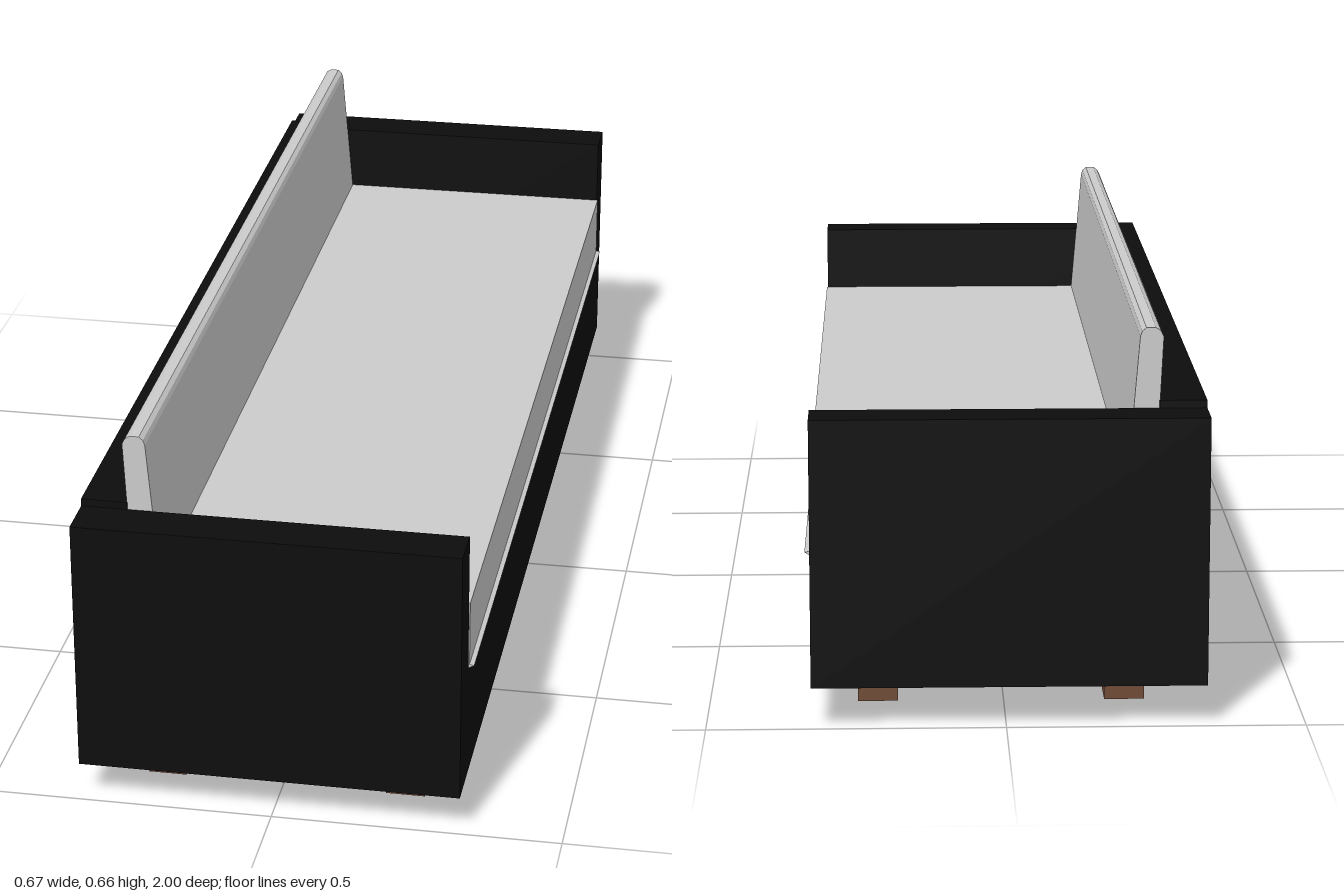
import * as THREE from 'three';

export function createModel() {
  const sofa = new THREE.Group();
  sofa.name = 'sofa';
  const black = new THREE.MeshStandardMaterial({ name: 'black upholstery', color: 0x0d0d0d });
  const grey = new THREE.MeshStandardMaterial({ name: 'light grey cushion', color: 0xcbcbcb });
  const wood = new THREE.MeshStandardMaterial({ name: 'brown wood', color: 0x704b36 });

  // Box given by its minimum and maximum corners
  function box(name, material, [x0, y0, z0], [x1, y1, z1]) {
    const mesh = new THREE.Mesh(new THREE.BoxGeometry(x1 - x0, y1 - y0, z1 - z0), material);
    mesh.position.set((x0 + x1) / 2, (y0 + y1) / 2, (z0 + z1) / 2);
    mesh.name = name;
    sofa.add(mesh);
  }

  // Cross-section in x and y, swept along the length of the sofa
  function sweep(name, material, points, halfLength) {
    const shape = new THREE.Shape(points.map(([x, y]) => new THREE.Vector2(x, y)));
    const geometry = new THREE.ExtrudeGeometry(shape, { depth: 2 * halfLength, bevelEnabled: false });
    geometry.translate(0, 0, -halfLength);
    const mesh = new THREE.Mesh(geometry, material);
    mesh.name = name;
    sofa.add(mesh);
  }

  // Frame: base, back panel and two arms
  box('base', black, [-0.256, 0.07, -0.92], [0.325, 0.28, 0.92]);
  box('backPanel', black, [-0.335, 0.07, -0.92], [-0.256, 0.538, 0.92]);
  box('leftArm', black, [-0.335, 0.07, 0.92], [0.325, 0.525, 1]);
  box('rightArm', black, [-0.335, 0.07, -1], [0.325, 0.525, -0.92]);

  // Seat cushion with a thin lip along its lower front edge
  sweep('seatCushion', grey, [
    [-0.255, 0.28], [0.324, 0.276], [0.335, 0.282], [0.327, 0.284], [0.327, 0.4], [-0.255, 0.4],
  ], 0.919);

  // Leaning back cushion with a rounded top
  sweep('backCushion', grey, [
    [-0.25, 0.39], [-0.202, 0.39], [-0.223, 0.645], [-0.226, 0.654], [-0.233, 0.66],
    [-0.249, 0.66], [-0.257, 0.655], [-0.262, 0.645],
  ], 0.917);

  // Legs
  for (const x of [-0.24, 0.18]) {
    for (const z of [-0.842, 0.822]) {
      box('leg', wood, [x, 0, z], [x + 0.068, 0.07, z + 0.068]);
    }
  }
  return sofa;
}
